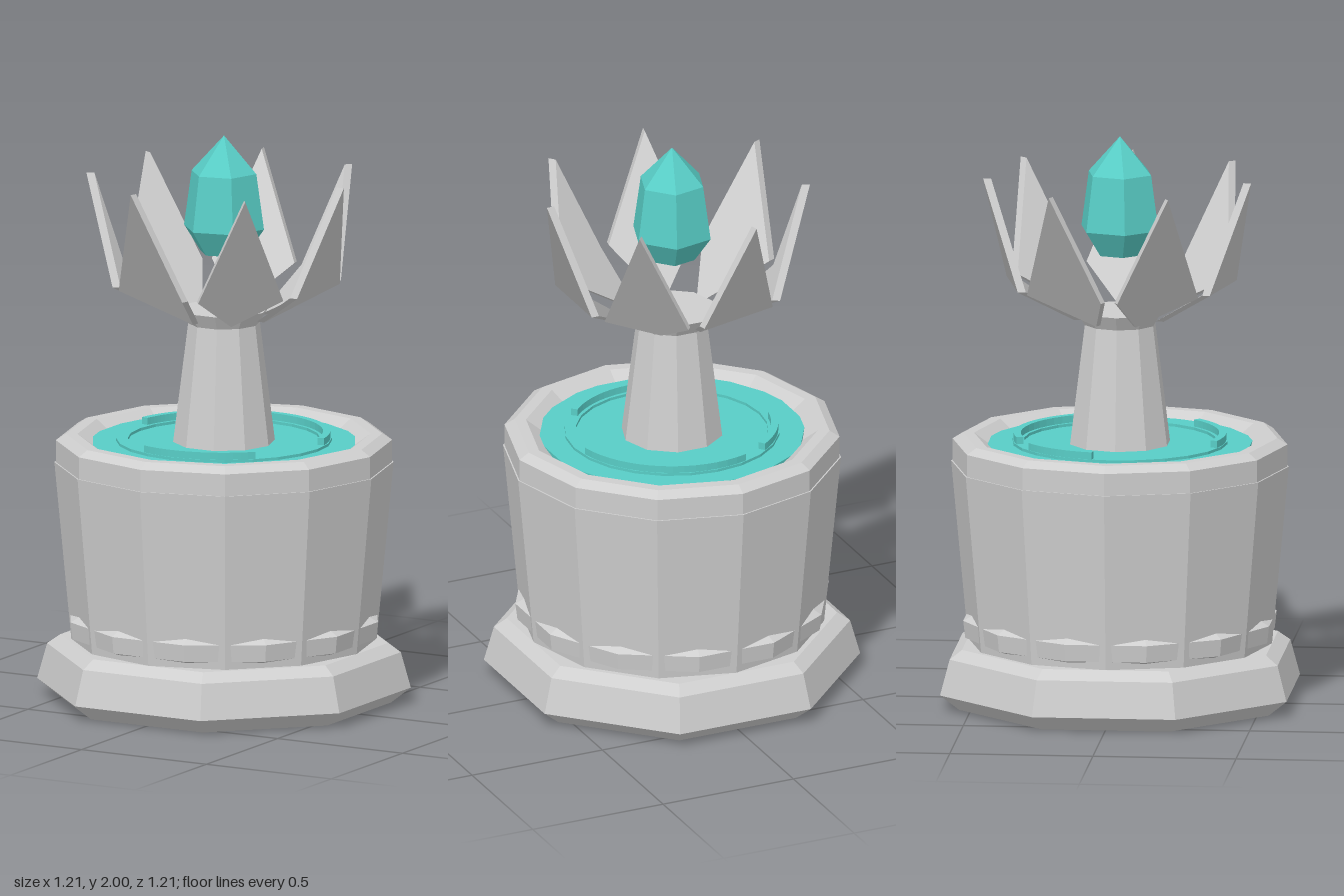
import * as THREE from 'three';

const stone = new THREE.MeshStandardMaterial({ color: 0xcecece });
stone.name = 'pale stone';
const teal = new THREE.MeshStandardMaterial({ color: 0x58cdc6 });
teal.name = 'teal water';

const rad = THREE.MathUtils.degToRad;

// Faceted solid of revolution from [radius, y] pairs, turned by a number of degrees
function turned(name, profile, sides, turn, material) {
  const points = profile.map(([r, y]) => new THREE.Vector2(r, y));
  const geo = new THREE.LatheGeometry(points, sides, rad(turn)).toNonIndexed();
  geo.computeVertexNormals();
  const mesh = new THREE.Mesh(geo, material);
  mesh.name = name;
  return mesh;
}

// Flat curved bar on the water, angles in degrees from +z towards +x
function ripple(name, inner, outer, from, to, y, height) {
  const a = rad(from - 90), b = rad(to - 90);
  const shape = new THREE.Shape();
  shape.absarc(0, 0, outer, a, b, false);
  shape.absarc(0, 0, inner, b, a, true);
  const geo = new THREE.ExtrudeGeometry(shape, { depth: height, bevelEnabled: false, curveSegments: 8 });
  geo.rotateX(-Math.PI / 2);
  const mesh = new THREE.Mesh(geo, teal);
  mesh.name = name;
  mesh.position.y = y;
  return mesh;
}

// Kite-shaped petal pointing to +x, bent across its widest line, one normal per quad
function petalGeometry() {
  const kite = (dx) => [
    [0.16 + dx, 1.352, 0], [0.378 + dx, 1.485, 0.15],
    [0.48 + dx, 1.862, 0], [0.378 + dx, 1.485, -0.15],
  ].map((p) => new THREE.Vector3(...p));
  const out = kite(0), inn = kite(-0.028);
  const positions = [], normals = [];
  const quad = (a, b, c, d) => { // split along b-d
    const n = c.clone().sub(a).cross(d.clone().sub(b)).normalize();
    for (const p of [a, b, d, b, c, d]) {
      positions.push(p.x, p.y, p.z);
      normals.push(n.x, n.y, n.z);
    }
  };
  quad(out[0], out[3], out[2], out[1]);
  quad(inn[0], inn[1], inn[2], inn[3]);
  for (let i = 0; i < 4; i++) {
    const j = (i + 1) % 4;
    quad(out[i], out[j], inn[j], inn[i]);
  }
  const geo = new THREE.BufferGeometry();
  geo.setAttribute('position', new THREE.Float32BufferAttribute(positions, 3));
  geo.setAttribute('normal', new THREE.Float32BufferAttribute(normals, 3));
  return geo;
}

export function createModel() {
  const model = new THREE.Group();
  model.name = 'fountain';

  // Octagonal plinth
  model.add(turned('plinth', [[0, 0], [0.585, 0], [0.655, 0.055], [0.62, 0.18], [0.575, 0.212], [0, 0.212]], 8, 22.5, stone));

  // Basin wall, foot band and rim
  model.add(turned('basinWall', [[0.53, 0.2], [0.59, 0.84], [0.5, 0.84]], 12, 0, stone));
  model.add(turned('footBand', [[0.5, 0.225], [0.546, 0.24], [0.553, 0.3], [0.52, 0.318]], 12, 15, stone));
  model.add(turned('rim', [[0.5, 0.84], [0.585, 0.84], [0.585, 0.918], [0.55, 0.94], [0.51, 0.94], [0.455, 0.9]], 12, 0, stone));

  // Water with a low ring and raised ripples
  model.add(turned('water', [[0.472, 0.9], [0.472, 0.915], [0, 0.915]], 12, 15, teal));
  model.add(turned('rippleRing', [[0.375, 0.91], [0.375, 0.925], [0.335, 0.925], [0.335, 0.91]], 24, 0, teal));
  for (const [from, to] of [[-19, 47], [100, 199], [216, 260]]) {
    model.add(ripple('ripple', 0.345, 0.37, from, to, 0.915, 0.035));
  }

  // Tapered column with a flared cap
  model.add(turned('column', [[0.18, 0.9], [0.125, 1.34]], 10, 18, stone));
  model.add(turned('columnCap', [[0.125, 1.335], [0.155, 1.385], [0, 1.385]], 10, 18, stone));

  // Ring of seven petals
  const petals = new THREE.Group();
  petals.name = 'petals';
  const geo = petalGeometry();
  for (let i = 0; i < 7; i++) {
    const petal = new THREE.Mesh(geo, stone);
    petal.name = 'petal';
    petal.rotation.y = (i / 7) * Math.PI * 2;
    petals.add(petal);
  }
  model.add(petals);

  // Floating crystal
  model.add(turned('crystal', [[0, 1.585], [0.085, 1.585], [0.146, 1.675], [0.118, 1.87], [0, 2]], 6, 42, teal));

  return model;
}
